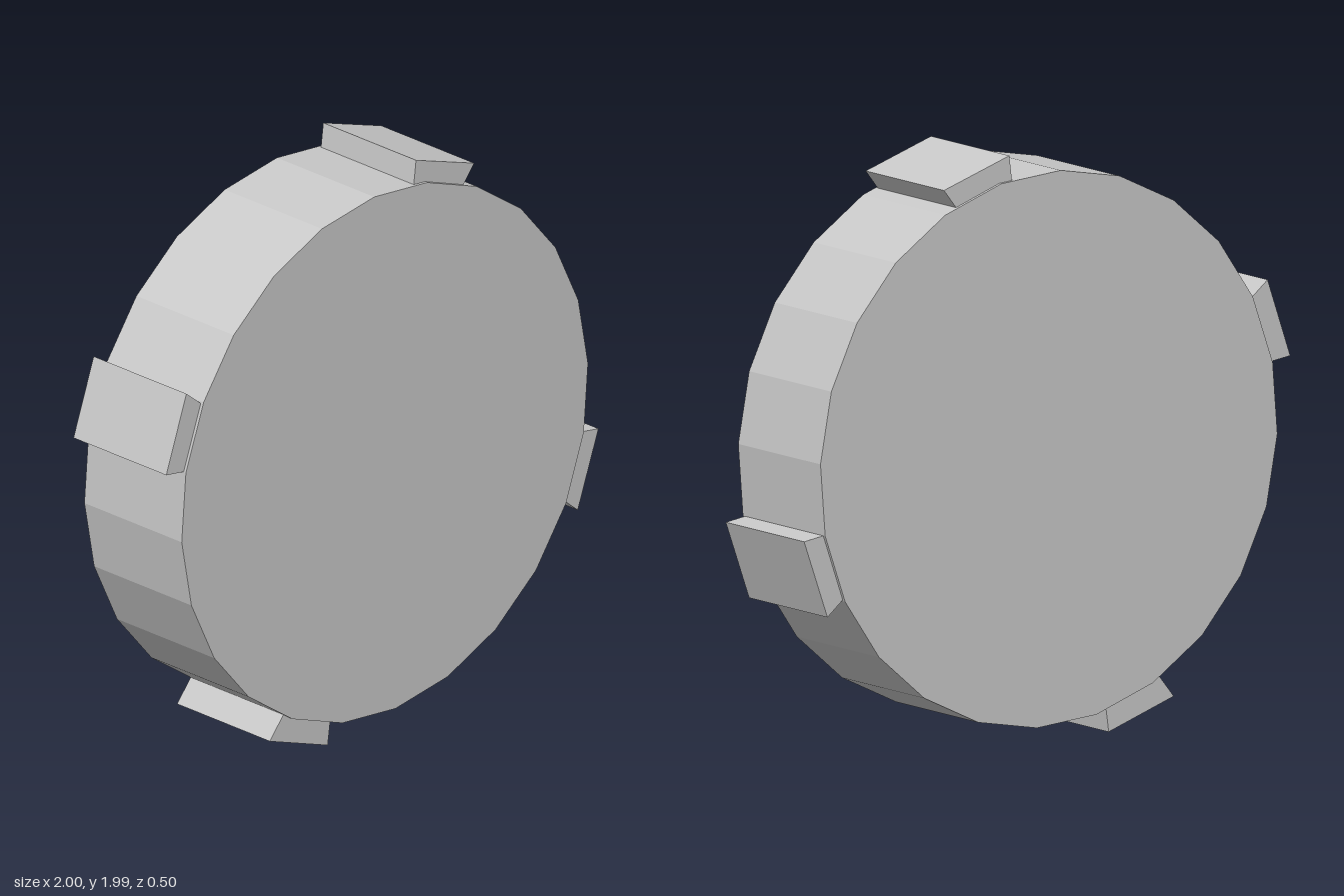
import * as THREE from 'three';

export function createModel() {
  const grey = new THREE.MeshStandardMaterial({ color: 0xc8c8c8, flatShading: true });
  grey.name = 'light grey';

  const model = new THREE.Group();
  model.name = 'studdedDisc';
  model.position.y = 0.99;
  model.rotation.y = 0.0193; // the disc sits very slightly turned

  // thick 24-sided disc, axis along z
  const discGeometry = new THREE.CylinderGeometry(0.937, 0.937, 0.466, 24)
    .rotateX(Math.PI / 2)
    .rotateZ(THREE.MathUtils.degToRad(3));
  const disc = new THREE.Mesh(discGeometry, grey);
  disc.name = 'disc';
  model.add(disc);

  // rim block: wide outer face, sides narrowing into the disc
  const half = 0.141, sink = 0.14, depth = 0.444;
  const profile = new THREE.Shape([
    new THREE.Vector2(half, 0),
    new THREE.Vector2(-half, 0),
    new THREE.Vector2(-half + 0.2 * sink, -sink),
    new THREE.Vector2(half - 0.36 * sink, -sink),
  ]);
  const blockGeometry = new THREE.ExtrudeGeometry(profile, { depth, bevelEnabled: false })
    .translate(0, 0, -depth / 2);

  // outer face centre (x, y from the disc centre) and turn in degrees
  const blocks = [
    ['topBlock', 0.288, 0.961, -18.3],
    ['rightBlock', -0.95, 0.34, 70.8],
    ['bottomBlock', -0.386, -0.937, 161],
    ['leftBlock', 0.947, -0.34, 250.2],
  ];
  for (const [name, x, y, turn] of blocks) {
    const block = new THREE.Mesh(blockGeometry, grey);
    block.name = name;
    block.position.set(x, y, 0);
    block.rotation.z = THREE.MathUtils.degToRad(turn);
    model.add(block);
  }

  const root = new THREE.Group();
  root.name = 'model';
  root.add(model);
  return root;
}
